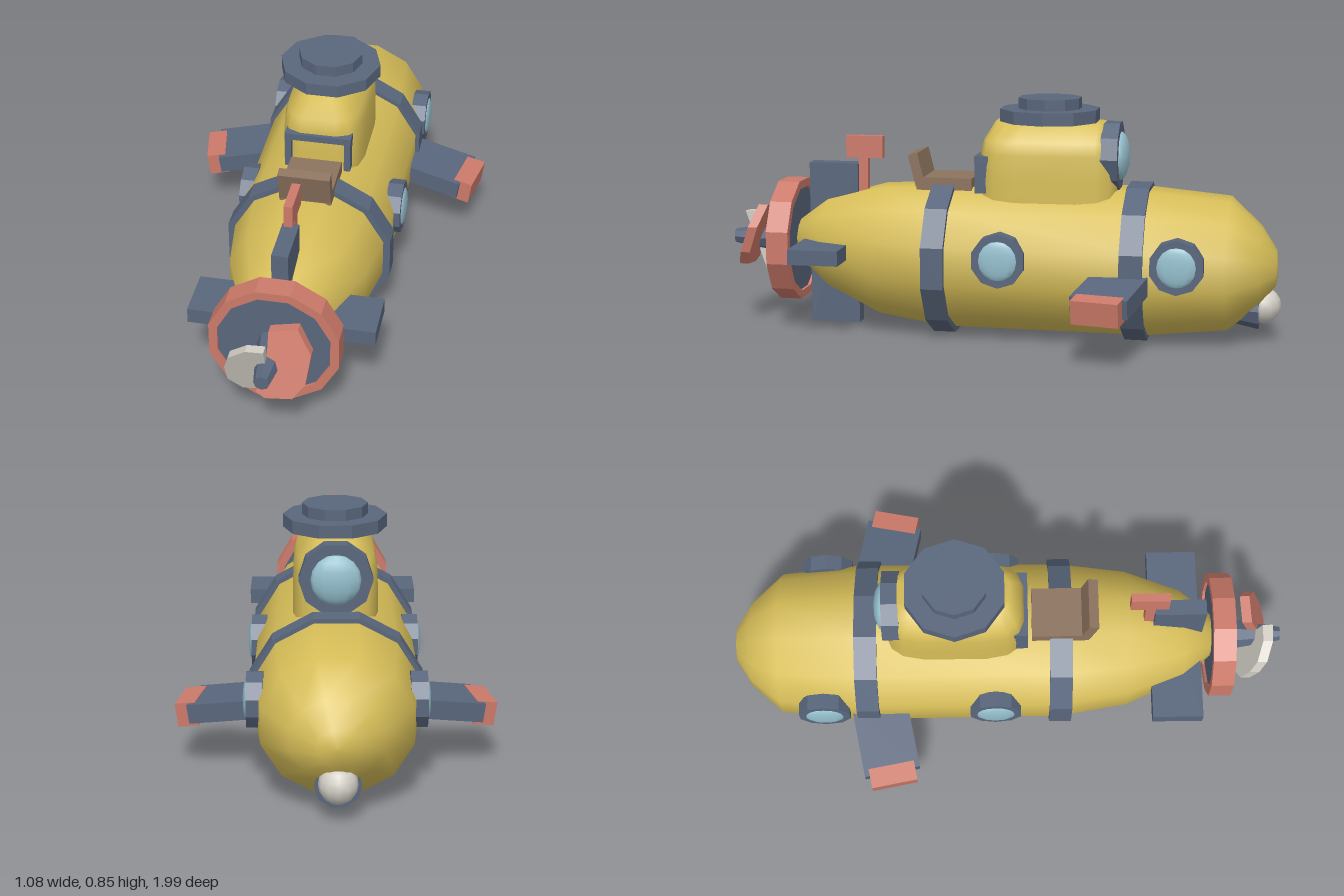
import * as THREE from 'three';

const mat = (name, color) => {
  const m = new THREE.MeshStandardMaterial({ color });
  m.name = name;
  return m;
};

// Lofted body along z: sections are [z, halfWidth, halfHeight, centreY]; p < 1 squares the outline
function loft(sections, n, p) {
  const pos = [], idx = [], fit = Math.cos(Math.PI / n) ** p;
  const bend = (v) => (Math.sign(v) * Math.abs(v) ** p) / fit;
  for (const [z, rx, ry, cy] of sections) {
    for (let j = 0; j < n; j++) {
      const a = ((j + 0.5) / n) * Math.PI * 2;
      pos.push(rx * bend(Math.cos(a)), cy + ry * bend(Math.sin(a)), z);
    }
  }
  for (let i = 0; i < sections.length - 1; i++) {
    for (let j = 0; j < n; j++) {
      const k = (j + 1) % n, a = i * n + j, b = i * n + k, c = b + n, d = a + n;
      idx.push(a, b, c, a, c, d);
    }
  }
  const g = new THREE.BufferGeometry();
  g.setAttribute('position', new THREE.Float32BufferAttribute(pos, 3));
  g.setIndex(idx);
  g.computeVertexNormals();
  return g;
}

// Faceted cylinder; axis is 'x', 'y' or 'z', rTop lies on the positive end
function drum(rTop, rBottom, length, sides, axis, turn = 0) {
  let g = new THREE.CylinderGeometry(rTop, rBottom, length, sides, 1, false, turn);
  if (axis === 'z') g.rotateX(Math.PI / 2);
  if (axis === 'x') g.rotateZ(-Math.PI / 2);
  g = g.toNonIndexed();
  g.computeVertexNormals();
  return g;
}

export function createModel() {
  const yellow = mat('hullYellow', 0xd6bd58);
  const slate = mat('slateBlue', 0x59667c);
  const coral = mat('coralRed', 0xcc7a6a);
  const brown = mat('seatBrown', 0x8c735e);
  const glass = mat('windowGlass', 0x95c0ce);
  const white = mat('paleGrey', 0xd2cec5);

  const model = new THREE.Group();
  model.name = 'submarine';
  const add = (name, geo, material, x = 0, y = 0, z = 0, parent = model) => {
    const m = new THREE.Mesh(geo, material);
    m.name = name;
    m.position.set(x, y, z);
    parent.add(m);
    return m;
  };
  const box = (w, h, d) => new THREE.BoxGeometry(w, h, d);

  // Hull, nose towards -z, with a rising tail
  add('hull', loft([
    [-0.98, 0, 0, 0.265], [-0.975, 0.065, 0.06, 0.265], [-0.92, 0.15, 0.135, 0.272],
    [-0.81, 0.245, 0.228, 0.277], [-0.53, 0.274, 0.255, 0.275], [0.2, 0.27, 0.253, 0.275],
    [0.44, 0.235, 0.23, 0.286], [0.64, 0.158, 0.157, 0.305], [0.745, 0.075, 0.075, 0.31],
    [0.75, 0, 0, 0.31],
  ], 12, 1), yellow);

  // Bands around the hull
  for (const z of [-0.492, 0.198]) {
    add('hullBand', drum(0.299, 0.299, 0.08, 12, 'z', Math.PI / 12).scale(1, 0.94, 1), slate, 0, 0.273, z);
  }

  // Conning tower, lofted upright
  add('tower', loft([
    [0.44, 0.145, 0.245, 0.175], [0.57, 0.145, 0.243, 0.173], [0.655, 0.142, 0.238, 0.172],
    [0.7, 0.13, 0.228, 0.172], [0.765, 0.08, 0.192, 0.175], [0.766, 0, 0, 0.175],
  ], 16, 0.5).rotateX(-Math.PI / 2), yellow);

  // Hatch
  add('hatchBase', drum(0.178, 0.178, 0.045, 10, 'y', Math.PI / 10), slate, 0, 0.787, -0.17);
  add('hatchLid', drum(0.113, 0.113, 0.04, 10, 'y', Math.PI / 10), slate, 0, 0.828, -0.17);

  // Front window of the tower
  add('towerWindowRing', drum(0.125, 0.125, 0.06, 10, 'z', Math.PI / 10), slate, 0, 0.645, -0.393);
  add('towerWindow', new THREE.SphereGeometry(0.088, 12, 8).scale(1, 1, 0.42), glass, 0, 0.645, -0.418);

  // Door frame behind the tower
  for (const s of [-1, 1]) add('doorPost', box(0.022, 0.12, 0.06), slate, s * 0.105, 0.575, 0.05);
  add('doorLintel', box(0.235, 0.024, 0.07), slate, 0, 0.635, 0.045);

  // Seat on the rear deck
  add('seat', box(0.18, 0.045, 0.2), brown, 0, 0.54, 0.195);
  add('seatBack', box(0.18, 0.115, 0.035), brown, 0, 0.588, 0.295).rotation.x = 0.25;

  // Portholes and front diving planes, mirrored
  for (const s of [-1, 1]) {
    for (const z of [-0.035, -0.648]) {
      add('portholeRing', drum(0.095, 0.095, 0.055, 10, 'x', Math.PI / 10), slate, s * 0.266, 0.31, z);
      add('portholeGlass', new THREE.SphereGeometry(0.07, 10, 8).scale(0.2, 1, 1), glass, s * 0.292, 0.31, z);
    }
    const plane = new THREE.Group();
    plane.name = 'divingPlane';
    plane.position.set(s * 0.37, 0.22, -0.43);
    plane.rotation.set(0, -s * 0.19, -s * 0.14);
    add('planeBlade', box(0.25, 0.066, 0.2), slate, -s * 0.015, 0, 0, plane);
    add('planeTip', box(0.07, 0.083, 0.165), coral, s * 0.12, -0.006, 0, plane);
    model.add(plane);
  }

  // Tail fins
  add('tailPlane', box(0.635, 0.054, 0.18), slate, 0, 0.302, 0.617);
  add('tailFin', box(0.056, 0.587, 0.18), slate, 0, 0.302, 0.617);

  // Periscope
  add('periscopeStem', box(0.028, 0.16, 0.034), coral, 0, 0.55, 0.51);
  add('periscopeHead', box(0.03, 0.08, 0.135), coral, 0, 0.655, 0.505);

  // Propeller guard: ring with a disc inside
  const ringPoints = (r) => Array.from({ length: 12 }, (_, i) => {
    const a = ((i + 0.5) / 12) * Math.PI * 2;
    return new THREE.Vector2(r * Math.cos(a), r * Math.sin(a));
  });
  const guard = new THREE.Shape(ringPoints(0.224));
  guard.holes.push(new THREE.Path(ringPoints(0.194)));
  add('guardRing', new THREE.ExtrudeGeometry(guard, { depth: 0.08, bevelEnabled: false }), coral, 0, 0.311, 0.737);
  add('guardDisc', drum(0.194, 0.194, 0.06, 12, 'z', Math.PI / 12), slate, 0, 0.311, 0.777);

  // Propeller hub and two sloping blades
  add('propellerHub', drum(0.026, 0.06, 0.2, 8, 'z'), slate, 0, 0.311, 0.9);
  const blade = (name, points, material, slope) => {
    const shape = new THREE.Shape(points.map(([x, y]) => new THREE.Vector2(x, y)));
    const g = new THREE.ExtrudeGeometry(shape, { depth: 0.035, bevelEnabled: false });
    const p = g.attributes.position;
    for (let i = 0; i < p.count; i++) p.setZ(i, p.getZ(i) + slope * (p.getY(i) - 0.31));
    g.computeVertexNormals();
    add(name, g, material, 0, 0, 0.895);
  };
  blade('rightBlade', [[0, 0.3], [-0.015, 0.275], [-0.03, 0.235], [0, 0.217], [0.09, 0.225],
    [0.13, 0.275], [0.143, 0.37], [0.095, 0.447], [0, 0.43]], coral, -0.36);
  blade('leftBlade', [[0, 0.405], [-0.06, 0.4], [-0.122, 0.35], [-0.14, 0.29], [-0.137, 0.22],
    [-0.09, 0.175], [0, 0.19]], white, 0.36);

  // Headlight under the nose
  add('headlightCup', drum(0.06, 0.077, 0.08, 10, 'z', Math.PI / 10), slate, 0, 0.12, -0.878);
  add('headlight', new THREE.SphereGeometry(0.064, 12, 8), white, 0, 0.13, -0.93);

  return model;
}
